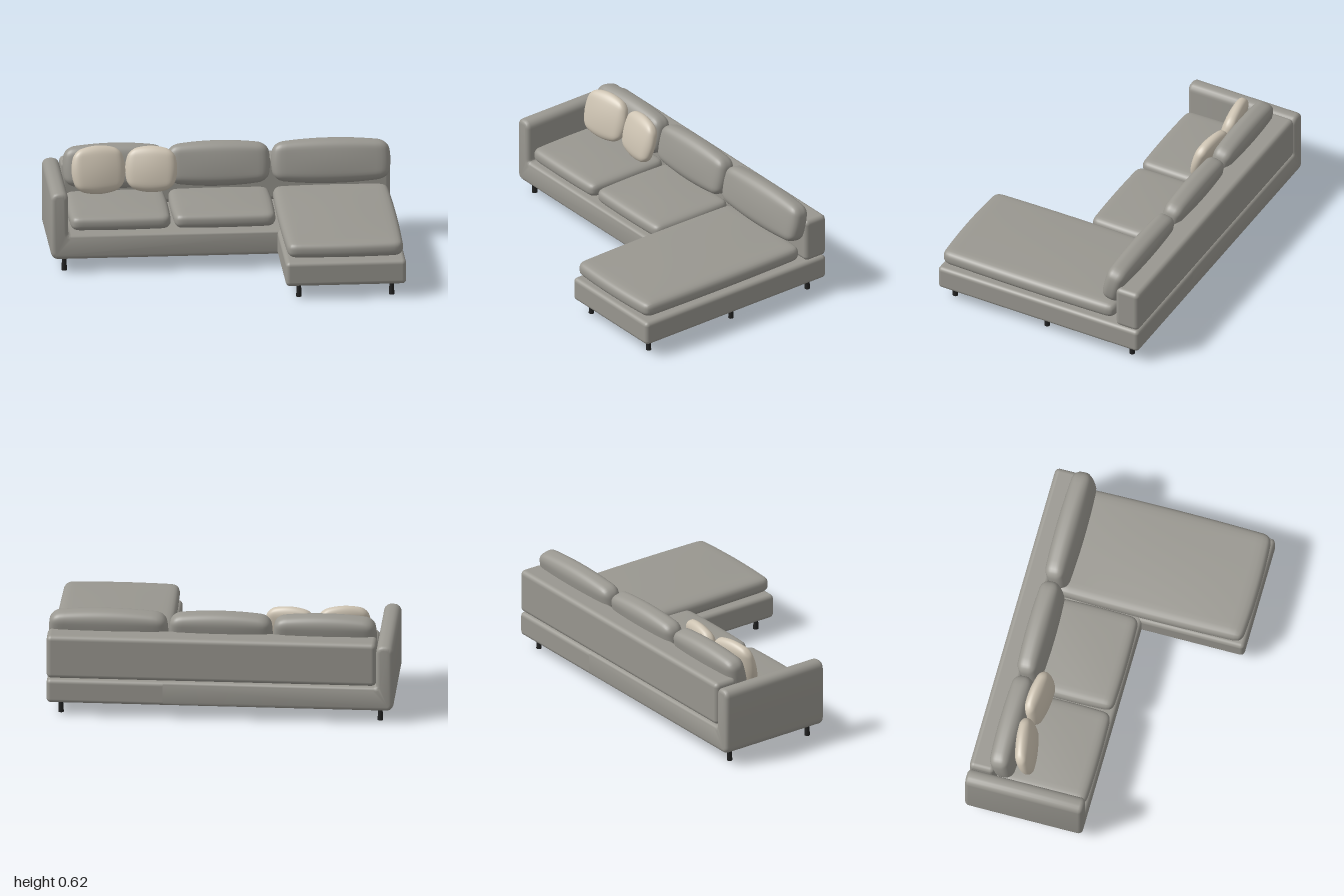
import * as THREE from 'three';
import { mergeVertices, toCreasedNormals } from 'three/addons/utils/BufferGeometryUtils.js';
import { RoundedBoxGeometry } from 'three/addons/geometries/RoundedBoxGeometry.js';

const fabric = new THREE.MeshStandardMaterial({ color: 0x999790 });
const linen = new THREE.MeshStandardMaterial({ color: 0xcdc3b2 });
const dark = new THREE.MeshStandardMaterial({ color: 0x222222 });

function add(parent, name, geometry, material, x, y, z) {
  const mesh = new THREE.Mesh(geometry, material);
  mesh.name = name;
  mesh.position.set(x, y, z);
  parent.add(mesh);
  return mesh;
}

// Rounded box given by its limits on each axis
function block(parent, name, [x0, x1], [y0, y1], [z0, z1], r) {
  const geo = new RoundedBoxGeometry(x1 - x0, y1 - y0, z1 - z0, 4, r);
  return add(parent, name, geo, fabric, (x0 + x1) / 2, (y0 + y1) / 2, (z0 + z1) / 2);
}

// Stuffed cushion, thickness along z: a rounded box with crowned faces and bowed edges
function cushionGeometry(w, h, t, { r = t * 0.42, crown = 0.25, bowX = 0.04, bowY = 0.1 }) {
  let geo = new THREE.BoxGeometry(2, 2, 2, 22, 22, 14);
  geo.deleteAttribute('uv');
  geo.deleteAttribute('normal');
  geo = mergeVertices(geo);
  const half = new THREE.Vector3(w / 2, h / 2, t / 2);
  const inner = half.clone().subScalar(r);
  const pos = geo.attributes.position;
  const p = new THREE.Vector3(), core = new THREE.Vector3();
  const crowd = (a) => Math.sin(a * Math.PI / 2); // denser rows near the edges
  for (let i = 0; i < pos.count; i++) {
    p.fromBufferAttribute(pos, i);
    p.set(crowd(p.x), crowd(p.y), crowd(p.z)).multiply(half);
    core.copy(p).clamp(inner.clone().negate(), inner);
    p.sub(core).setLength(r).add(core);
    const u2 = (p.x / half.x) ** 2, v2 = (p.y / half.y) ** 2;
    p.z *= 1 - crown * (1 - (1 - u2) * (1 - v2));
    p.x *= 1 - bowX * v2;
    p.y *= 1 - bowY * u2;
    pos.setXYZ(i, p.x, p.y, p.z);
  }
  geo.computeVertexNormals();
  return geo;
}

// Base and armrest in one L-shaped profile with soft edges
function baseWithArm() {
  const b = 0.025, q = 0.02;
  const l = -1 + b, a = -0.9 - b, bottom = 0.08 + b, deck = 0.225 - b, top = 0.48 - b, end = 0.33;
  const s = new THREE.Shape();
  s.moveTo(l + q, bottom);
  s.lineTo(end, bottom);
  s.lineTo(end, deck);
  s.lineTo(a + 0.04, deck);
  s.quadraticCurveTo(a, deck, a, deck + 0.04);
  s.lineTo(a, top - q);
  s.quadraticCurveTo(a, top, a - q, top);
  s.lineTo(l + q, top);
  s.quadraticCurveTo(l, top, l, top - q);
  s.lineTo(l, bottom + q);
  s.quadraticCurveTo(l, bottom, l + q, bottom);
  const geo = new THREE.ExtrudeGeometry(s, {
    depth: 0.70 - 2 * b, bevelSize: b, bevelThickness: b, bevelSegments: 4, curveSegments: 5,
  });
  geo.translate(0, 0, -0.655 + b);
  return toCreasedNormals(geo, 0.7);
}

export function createModel() {
  const sofa = new THREE.Group();
  sofa.name = 'cornerSofa';

  // Frame
  add(sofa, 'baseWithArmrest', baseWithArm(), fabric, 0, 0, 0);
  block(sofa, 'chaiseBase', [0.305, 1], [0.08, 0.225], [-0.655, 0.655], 0.025);
  block(sofa, 'backrest', [-0.9, 1], [0.23, 0.492], [-0.655, -0.505], 0.028);

  // Seat cushions: [name, x limits, z limits, y, thickness]
  for (const [name, x0, x1, z0, z1, y, t] of [
    ['rightSeatCushion', -0.888, -0.302, -0.5, 0.04, 0.286, 0.108],
    ['middleSeatCushion', -0.29, 0.302, -0.5, 0.04, 0.286, 0.108],
    ['chaiseCushion', 0.31, 0.992, -0.495, 0.652, 0.288, 0.116],
  ]) {
    const geo = cushionGeometry(x1 - x0, z1 - z0, t, { crown: 0.2, bowX: 0.025, bowY: 0.025 });
    add(sofa, name, geo, fabric, (x0 + x1) / 2, y, (z0 + z1) / 2).rotation.x = -Math.PI / 2;
  }

  // Back cushions leaning on the backrest
  for (const [name, x0, x1] of [
    ['rightBackCushion', -0.892, -0.298],
    ['middleBackCushion', -0.292, 0.302],
    ['leftBackCushion', 0.31, 0.997],
  ]) {
    const geo = cushionGeometry(x1 - x0, 0.262, 0.142, { r: 0.055, crown: 0.2, bowX: 0.05, bowY: 0.17 });
    add(sofa, name, geo, fabric, (x0 + x1) / 2, 0.476, -0.472).rotation.x = -0.22;
  }

  // Loose throw pillows: [name, x, y, z, width, height, yaw]
  for (const [name, x, y, z, w, h, yaw] of [
    ['outerThrowPillow', -0.695, 0.487, -0.365, 0.315, 0.28, 0.15],
    ['innerThrowPillow', -0.39, 0.482, -0.372, 0.3, 0.268, -0.13],
  ]) {
    const geo = cushionGeometry(w, h, 0.1, { r: 0.045, crown: 0.4, bowX: 0.16, bowY: 0.2 });
    add(sofa, name, geo, linen, x, y, z).rotation.set(-0.25, yaw, 0, 'YXZ');
  }

  // Legs, slightly wider at the foot
  const legGeo = new THREE.CylinderGeometry(0.012, 0.016, 0.09, 16);
  for (const [x, z] of [
    [-0.92, -0.575], [-0.92, -0.02], [0.92, -0.575], [0.92, -0.02], [0.92, 0.58], [0.385, 0.58],
  ]) add(sofa, 'leg', legGeo, dark, x, 0.045, z);

  return sofa;
}
